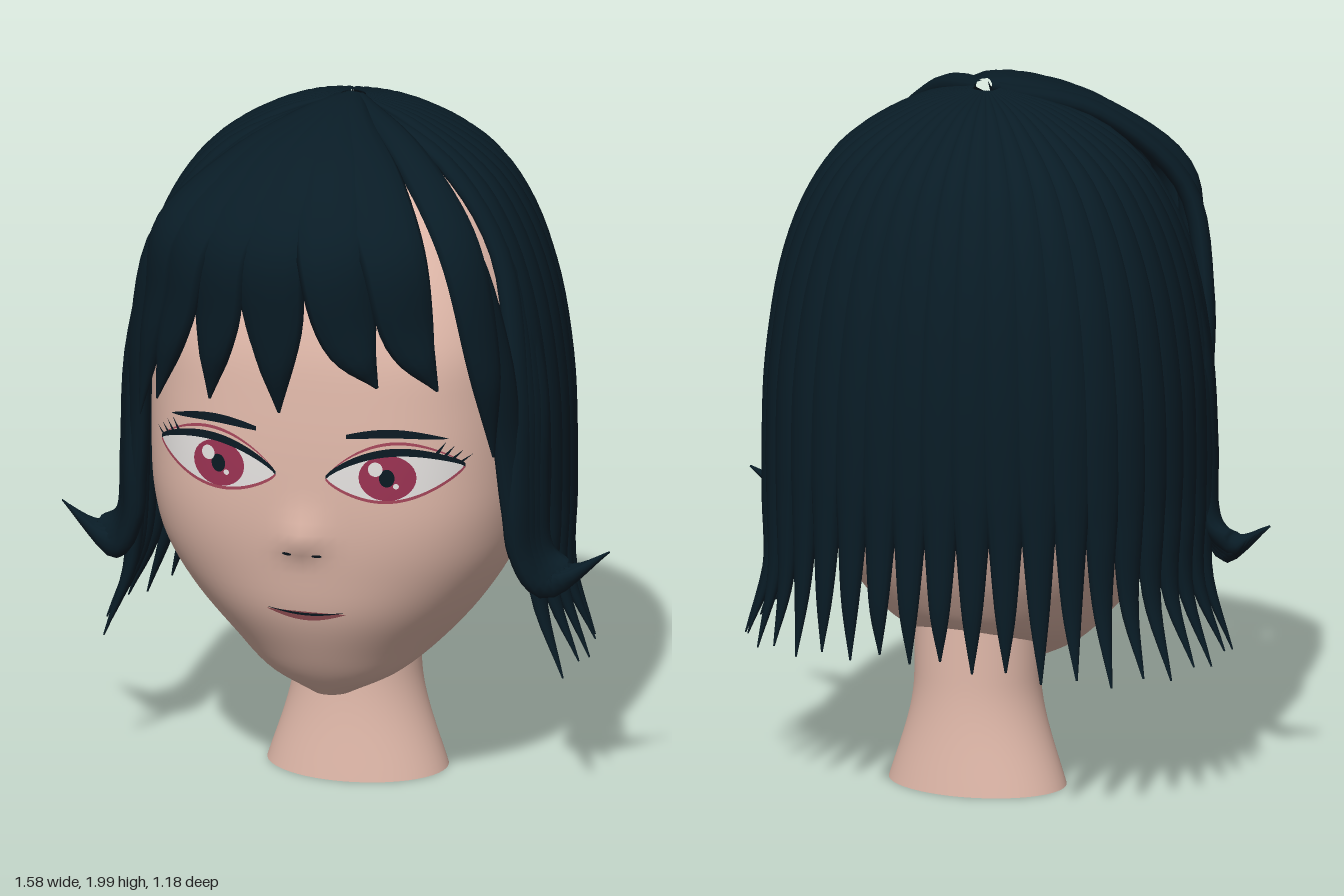
import * as THREE from 'three';
import { mergeVertices } from 'three/addons/utils/BufferGeometryUtils.js';

const mat = (name, color, side = THREE.FrontSide) => {
  const m = new THREE.MeshStandardMaterial({ color, side });
  m.name = name;
  return m;
};

// Smooth grid surface from a rule fn(u, v) -> [x, y, z]; seams are welded
function grid(nu, nv, fn) {
  const pos = [], idx = [];
  for (let i = 0; i <= nu; i++)
    for (let j = 0; j <= nv; j++) pos.push(...fn(i / nu, j / nv));
  for (let i = 0; i < nu; i++)
    for (let j = 0; j < nv; j++) {
      const a = i * (nv + 1) + j, b = a + nv + 1;
      idx.push(a, b, a + 1, b, b + 1, a + 1);
    }
  let g = new THREE.BufferGeometry();
  g.setAttribute('position', new THREE.Float32BufferAttribute(pos, 3));
  g.setIndex(idx);
  g = mergeVertices(g, 1e-5);
  g.computeVertexNormals();
  return g;
}

// Head rows: y, half width, front z, back z
const ROWS = [
  [0.295, 0.06, 0.235, 0.10], [0.36, 0.19, 0.305, -0.02], [0.45, 0.30, 0.365, -0.22],
  [0.58, 0.41, 0.43, -0.33], [0.72, 0.49, 0.463, -0.40], [0.85, 0.52, 0.483, -0.45],
  [1.0, 0.53, 0.49, -0.49], [1.2, 0.53, 0.485, -0.51], [1.4, 0.52, 0.465, -0.50],
  [1.6, 0.45, 0.40, -0.44], [1.75, 0.34, 0.29, -0.34], [1.85, 0.19, 0.14, -0.2], [1.89, 0.01, -0.02, -0.04],
];
function headRow(y) {
  let i = 0;
  while (i < ROWS.length - 2 && y > ROWS[i + 1][0]) i++;
  const A = ROWS[i], B = ROWS[i + 1], h = B[0] - A[0], t = (y - A[0]) / h;
  const slope = (k, c) => {
    const p = ROWS[Math.max(k - 1, 0)], q = ROWS[Math.min(k + 1, ROWS.length - 1)];
    return (q[c] - p[c]) / (q[0] - p[0]);
  };
  return [1, 2, 3].map(c => (1 + 2 * t) * (1 - t) ** 2 * A[c] + t * (1 - t) ** 2 * h * slope(i, c)
    + t * t * (3 - 2 * t) * B[c] + t * t * (t - 1) * h * slope(i + 1, c));
}
const squircle = (a, n) => (Math.abs(Math.cos(a)) ** n + Math.abs(Math.sin(a)) ** n) ** (-1 / n);
const roundness = y => 2 + 0.8 * THREE.MathUtils.smoothstep(y, 0.4, 0.95) * (1 - THREE.MathUtils.smoothstep(y, 1.3, 1.8));
const nose = (x, y) => 0.027 * Math.exp(-((x / 0.06) ** 2) - ((y - 0.825) / (y > 0.825 ? 0.08 : 0.04)) ** 2);
function faceZ(x, y) {
  const [w, f, b] = headRow(y), n = roundness(y), c = (f + b) / 2;
  return c + (f - c) * Math.max(0, 1 - Math.abs(x / w) ** n) ** (1 / n) + nose(x, y);
}
function headGeometry() {
  return grid(72, 96, (u, v) => {
    const y = 0.295 + 1.595 * (1 - Math.cos(Math.PI * u)) / 2;
    const [w, f, b] = headRow(y), a = v * Math.PI * 2, c = (f + b) / 2;
    const front = Math.sin(a) > 0;
    const r = u === 0 ? 0 : squircle(a, front ? roundness(y) : 2);
    const x = w * r * Math.cos(a);
    return [x, y, c + (f - c) * r * Math.sin(a) + (front ? nose(x, y) : 0)];
  });
}

// Thin painted plate that follows the face; fn(u, v) -> [x, y]
const plate = (nu, nv, lift, fn) => grid(nu, nv, (u, v) => {
  const [x, y] = fn(u, v);
  return [x, y, faceZ(x, y) + lift];
});
const disc = (cx, cy, rx, ry, lift) => plate(4, 28, lift, (u, v) =>
  [cx + u * rx * Math.cos(v * 2 * Math.PI), cy + u * ry * Math.sin(v * 2 * Math.PI)]);

// Hair lock: lens-shaped sweep through points [x, y, z, half width]
const HEAD_CENTRE = new THREE.Vector3(0, 1.1, 0);
function lock(points, thick = 0.03, steps = 30, sides = 12) {
  const path = new THREE.CatmullRomCurve3(points.map(p => new THREE.Vector3(p[0], p[1], p[2])), false, 'catmullrom');
  const size = new THREE.CatmullRomCurve3(points.map(p => new THREE.Vector3(p[3], 0, 0)), false, 'catmullrom');
  return grid(steps, sides, (u, v) => {
    const p = path.getPoint(u), T = path.getTangent(u);
    const w = Math.max(size.getPoint(u).x, 0.002), h = Math.min(thick, w * 0.7);
    const O = p.clone().sub(HEAD_CENTRE);
    O.y *= THREE.MathUtils.smoothstep(p.y, 1.1, 1.6);
    O.addScaledVector(T, -O.dot(T)).normalize();
    const S = T.clone().cross(O), a = v * Math.PI * 2;
    return p.addScaledVector(S, w * Math.cos(a)).addScaledVector(O, h * Math.sin(a)).toArray();
  });
}

export function createModel() {
  const model = new THREE.Group();
  model.name = 'headBust';
  const D = THREE.DoubleSide;
  const skin = mat('skin', 0xe2baab, D), hair = mat('hair', 0x091c26);
  const dark = mat('lashDark', 0x0b1a23, D), white = mat('eyeWhite', 0xe9e6e4, D);
  const iris = mat('irisPink', 0x9c3353, D), rim = mat('lidPink', 0xa8485c, D);
  const lip = mat('lip', 0x9a5257, D);
  const add = (name, geo, m, parent = model) => {
    const mesh = new THREE.Mesh(geo, m);
    mesh.name = name;
    parent.add(mesh);
  };
  const group = name => {
    const g = new THREE.Group();
    g.name = name;
    model.add(g);
    return g;
  };

  add('head', headGeometry(), skin);

  // Neck: open oval tube flaring to the base
  add('neck', grid(20, 48, (u, v) => {
    const a = v * Math.PI * 2, k = (1 - THREE.MathUtils.smoothstep(u, -0.35, 0.6)) / 0.7;
    return [(0.178 + 0.079 * k) * Math.cos(a), u * 0.52, -0.082 + (0.165 + 0.028 * k) * Math.sin(a)];
  }), skin);

  // Eyes, lashes and brows on both sides
  for (const s of [1, -1]) {
    const eye = group(s > 0 ? 'leftEye' : 'rightEye');
    const ex = u => s * (0.072 + 0.366 * u);
    const corner = u => 1.027 + 0.03 * u;
    const arc = u => Math.sin(Math.PI * u) ** 0.75;
    const top = u => corner(u) + 0.061 * arc(u), low = u => corner(u) - 0.074 * arc(u);
    const band = (name, m, lift, lo, hi) => add(name, plate(40, 6, lift, (u, v) =>
      [ex(u), lo(u) + (hi(u) - lo(u)) * v]), m, eye);
    band('eyeWhite', white, 0.003, low, top);
    band('lowerLid', rim, 0.007, u => low(u) - 0.007, u => low(u) + 0.002);
    band('upperLash', dark, 0.008, u => top(u) - 0.004, u => top(u) + 0.006 + 0.013 * arc(u));
    band('lidCrease', rim, 0.005, u => top(u) + 0.028 * arc(u), u => top(u) + 0.037 * arc(u));
    add('iris', disc(s * 0.243, 1.035, 0.078, 0.067, 0.005), iris, eye);
    add('pupil', disc(s * 0.243, 1.035, 0.021, 0.026, 0.0065), dark, eye);
    add('highlight', disc(s * 0.243 - 0.031, 1.061, 0.02, 0.021, 0.008), white, eye);
    add('smallHighlight', disc(s * 0.243 + 0.025, 1.012, 0.008, 0.008, 0.008), white, eye);
    for (let i = 0; i < 4; i++) {
      const u0 = 0.8 + i * 0.055, x0 = ex(u0), y0 = top(u0);
      add('lash', plate(4, 2, 0.009, (u, v) =>
        [x0 + s * (0.03 * u + (v - 0.5) * 0.016 * (1 - u)), y0 + 0.042 * u - 0.008 * i * u]), dark, eye);
    }
    add('brow', plate(20, 3, 0.008, (u, v) =>
      [s * (0.13 + 0.27 * u), 1.152 - 0.01 * u + 0.018 * Math.sin(Math.PI * u)
        + (v - 0.5) * 0.025 * Math.sin(Math.PI * (0.12 + 0.88 * u)) ** 0.7]), dark, eye);
    add('nostril', disc(s * 0.043, 0.79, 0.014, 0.005, 0.004), dark);
  }

  // Mouth
  const mouth = (name, m, h, lift, y) => add(name, plate(24, 4, lift, (u, v) =>
    [0.23 * (u - 0.5), y - 0.012 * Math.sin(Math.PI * u) + (v - 0.5) * h * Math.sin(Math.PI * u)]), m);
  mouth('lips', lip, 0.028, 0.005, 0.608);
  mouth('mouthLine', dark, 0.008, 0.008, 0.615);

  // Cap: locks radiating from the crown around the sides and back
  const cap = group('capLocks');
  const PROFILE = [[0.06, 1.972, 1], [0.34, 1.915, 1], [0.62, 1.8, 1], [0.8, 1.65, 1], [0.92, 1.45, 1],
    [0.985, 1.2, 1], [1, 0.97, 0.93], [1, 0.8, 0.7], [1.015, 0.6, 0.43]];
  const COUNT = 25, START = Math.PI * 0.085, SPREAD = Math.PI + 2 * START;
  for (let i = 0; i < COUNT; i++) {
    const a = START - SPREAD * i / (COUNT - 1), r = squircle(a, 2.25);
    const c = r * Math.cos(a), s = r * Math.sin(a), side = Math.abs(Math.cos(a));
    const at = (f, y, w) => [0.595 * f * c, y, 0.548 * f * s - 0.03 * Math.max(0, 1 - f), w];
    const pts = PROFILE.map(([f, y, k]) => at(f, y, 0.066 * Math.min(f, 1) * k));
    const back = Math.max(0, -Math.sin(a)) ** 4;
    pts.push(at(1 + 0.15 * side * side, 0.385 + 0.06 * back + (i % 2) * 0.02, 0.003));
    add('capLock', lock(pts, 0.032, 40), hair, cap);
  }

  // Fringe: mid x, front z, tip x, tip y, half width
  const fringe = group('fringe');
  for (const [mx, zf, tx, ty, w] of [[-0.4, 0.4, -0.5, 1.12, 0.075], [-0.32, 0.455, -0.435, 1.19, 0.09],
    [-0.22, 0.5, -0.27, 1.22, 0.1], [-0.07, 0.535, -0.06, 1.21, 0.105], [0.105, 0.54, 0.225, 1.31, 0.1],
    [0.265, 0.49, 0.385, 1.3, 0.095]]) {
    add('fringeLock', lock([
      [0.01, 1.972, 0, 0.03], [0.22 * mx, 1.935, 0.36 * zf, 0.07], [0.58 * mx, 1.855, 0.7 * zf, w],
      [mx, 1.69, zf, w], [mx + (tx - mx) * 0.4, 1.46, zf, 0.8 * w], [tx, ty, zf - 0.03, 0.004],
    ], 0.032), hair, fringe);
  }

  // Side locks that curl outward at the bottom
  for (const s of [1, -1]) {
    const sideLocks = group(s > 0 ? 'leftSideLocks' : 'rightSideLocks');
    for (let k = 0; k < 4; k++) {
      const x = 0.545 + 0.01 * k;
      add('sideLock', lock([
        [0.04 * s, 1.96, 0, 0.02], [0.31 * s, 1.84, 0.11, 0.03], [0.485 * s, 1.6, 0.165 - 0.012 * k, 0.035],
        [x * s, 1.25, 0.215 - 0.025 * k, 0.045], [(x + 0.01) * s, 0.95, 0.24 - 0.025 * k, 0.05],
        [(x + 0.02) * s, 0.76, 0.225 - 0.02 * k, 0.05], [(x + 0.09) * s, 0.665 + 0.01 * k, 0.19 - 0.012 * k, 0.04],
        [(0.79 - 0.02 * k) * s, 0.76 - 0.012 * k, 0.14, 0.003],
      ], 0.03, 36), hair, sideLocks);
    }
    // Front strand sweeping over the temple into the curl
    add('templeStrand', lock([
      [0.02 * s, 1.965, 0, 0.03], [0.24 * s, 1.87, 0.21, 0.045], [0.44 * s, 1.65, 0.345, 0.05],
      [0.515 * s, 1.35, 0.31, 0.05], [0.53 * s, 1.1, 0.265, 0.05], [0.545 * s, 0.9, 0.24, 0.05],
      [0.565 * s, 0.75, 0.22, 0.045], [0.65 * s, 0.665, 0.18, 0.004],
    ], 0.028, 36), hair, sideLocks);
  }

  // Loose lock over the left temple
  add('templeLock', lock([[0.02, 1.97, 0, 0.03], [0.24, 1.885, 0.22, 0.055], [0.42, 1.69, 0.37, 0.07],
    [0.49, 1.37, 0.37, 0.055], [0.505, 1.07, 0.315, 0.004]], 0.032), hair);

  return model;
}
